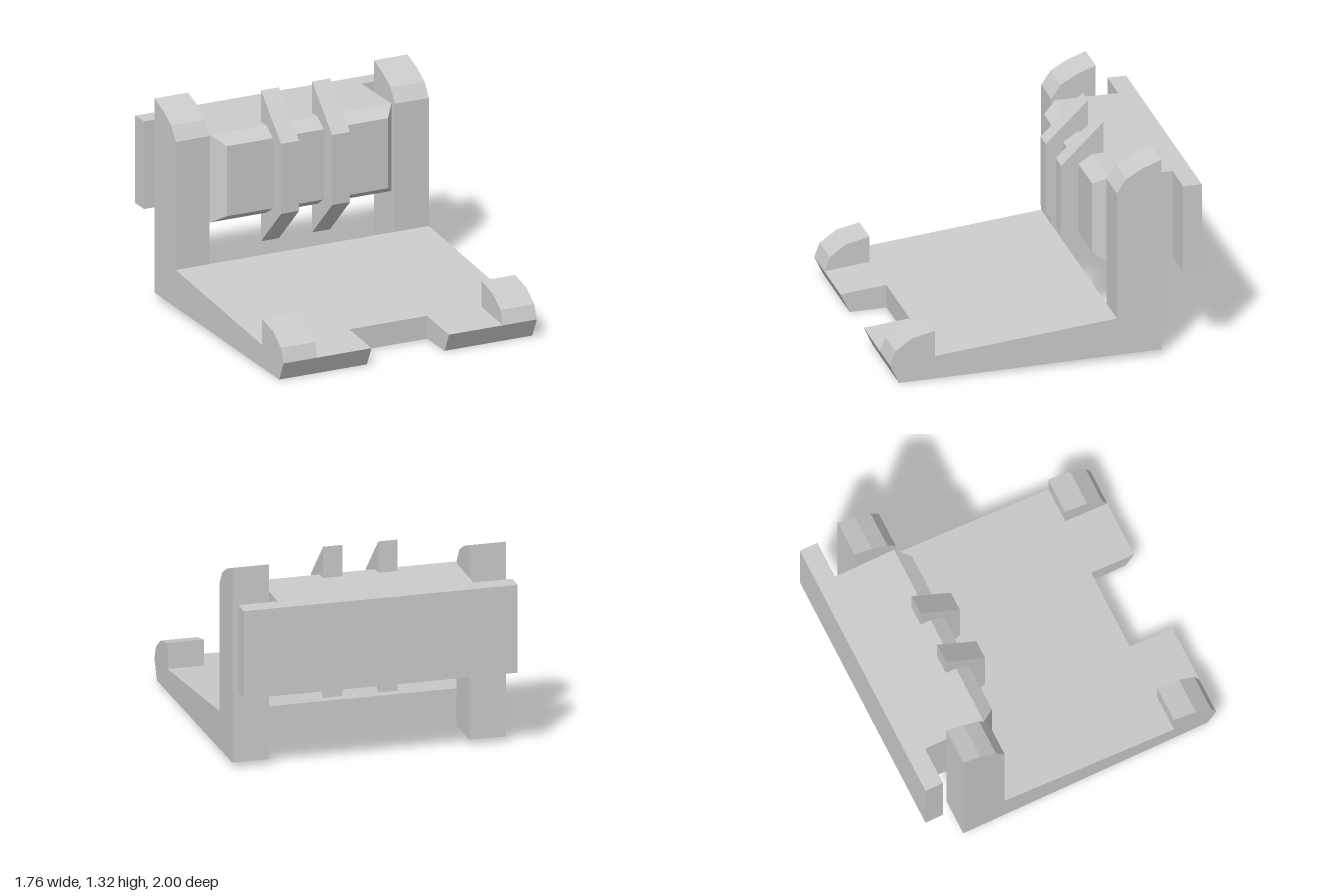
import * as THREE from 'three';

const material = new THREE.MeshStandardMaterial({ color: 0xcccccc, flatShading: true });

function addMesh(parent, name, geometry) {
  const mesh = new THREE.Mesh(geometry, material);
  mesh.name = name;
  parent.add(mesh);
}

// Extrude a side profile of [z, y] points across x0..x1
function slab(profile, x0, x1) {
  const shape = new THREE.Shape(profile.map(([z, y]) => new THREE.Vector2(z, y)));
  const geometry = new THREE.ExtrudeGeometry(shape, { depth: x1 - x0, bevelEnabled: false });
  return geometry.rotateY(-Math.PI / 2).translate(x1, 0, 0);
}

// Add a slab on the left and its mirror on the right
function addPair(parent, name, profile, x0, x1) {
  addMesh(parent, name + 'Left', slab(profile, x0, x1));
  addMesh(parent, name + 'Right', slab(profile, -x1, -x0));
}

export function createModel() {
  const model = new THREE.Group();
  model.name = 'slidingBracket';

  // L-shaped bracket: side arms with hooked toe and rounded post
  const bracket = new THREE.Group();
  bracket.name = 'bracket';
  model.add(bracket);
  addPair(bracket, 'sideArm', [
    [-0.74, 0.04], [0.94, 0.005], [1, 0.13], [0.965, 0.22], [0.86, 0.295], [0.71, 0.33],
    [0.71, 0.16], [-0.455, 0.28], [-0.455, 1.12], [-0.515, 1.21], [-0.62, 1.27], [-0.74, 1.315],
  ], 0.645, 0.88);

  // Tapered floor between the arms, notched in the middle of the front edge
  addPair(bracket, 'floorTongue', [
    [-0.455, 0.034], [0.94, 0.005], [1, 0.13], [-0.455, 0.28],
  ], 0.27, 0.645);
  addMesh(bracket, 'floorCentre', slab([
    [-0.455, 0.034], [0.705, 0.01], [0.705, 0.16], [-0.455, 0.28],
  ], -0.27, 0.27));

  // Sliding block held between the posts
  const slider = new THREE.Group();
  slider.name = 'slider';
  model.add(slider);
  addMesh(slider, 'backFlange', new THREE.BoxGeometry(1.76, 0.575, 0.12).translate(0, 0.832, -0.94));

  // Block with bevelled front: half width, half height and z at each section
  const sections = [[0.63, 0.2875, -0.88], [0.63, 0.2875, -0.475], [0.56, 0.23, -0.385]];
  const block = new THREE.BoxGeometry(2, 2, 2, 1, 1, 2);
  const pos = block.attributes.position;
  for (let i = 0; i < pos.count; i++) {
    const [w, h, z] = sections[Math.round(pos.getZ(i)) + 1];
    pos.setXYZ(i, pos.getX(i) * w, 0.832 + pos.getY(i) * h, z);
  }
  block.computeVertexNormals();
  addMesh(slider, 'block', block);

  // Two wedge-ended ribs wrapping the front of the block
  addPair(slider, 'rib', [
    [-0.545, 0.335], [-0.275, 0.6], [-0.275, 1.06], [-0.545, 1.325],
  ], 0.115, 0.24);

  return model;
}
